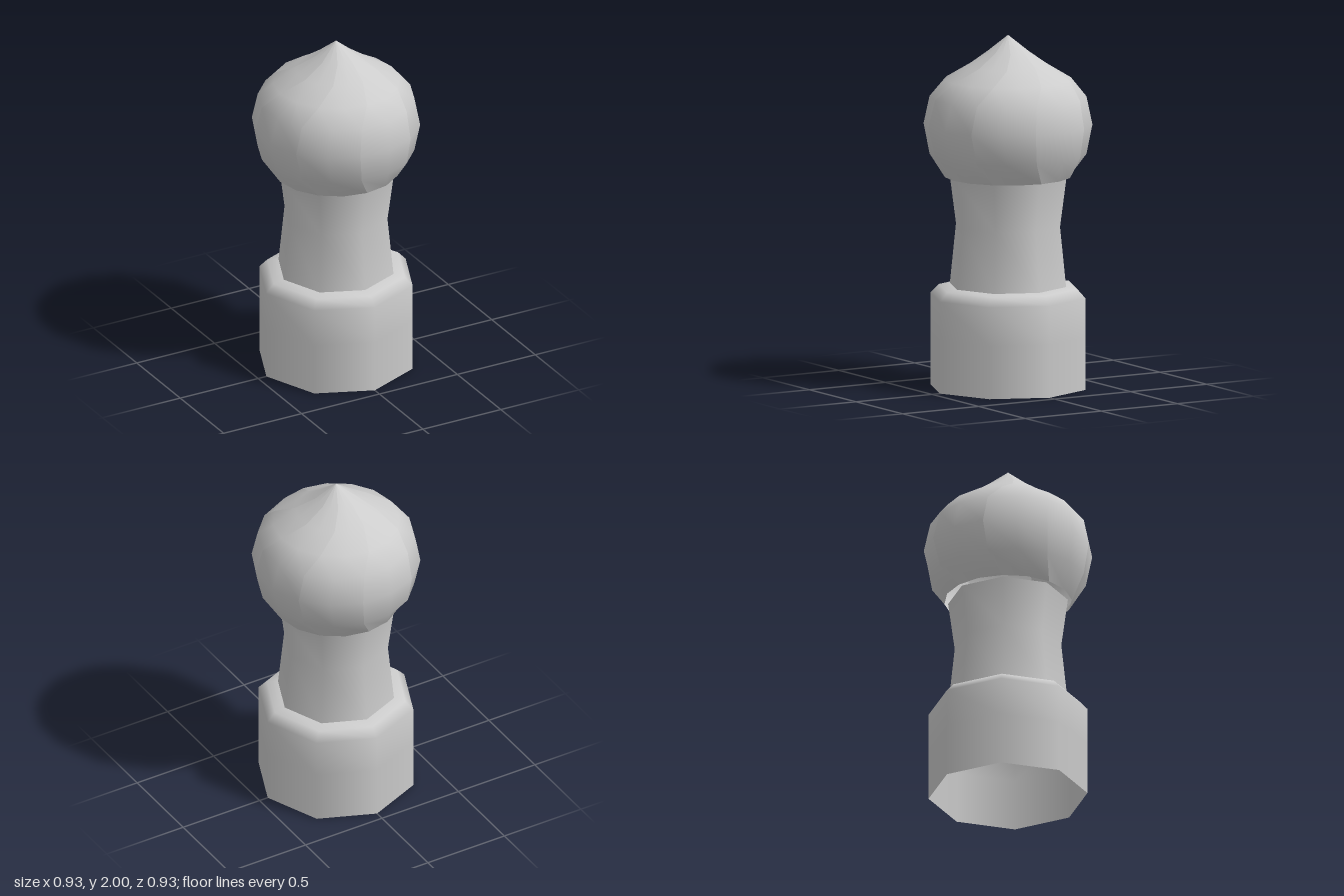
import * as THREE from 'three';

const material = new THREE.MeshStandardMaterial({ color: 0xcccccc, side: THREE.DoubleSide });
const SIDES = 8;

// Eight-sided turned part from [radius, height] pairs, bottom to top
function turned(name, profile) {
  const points = profile.map(([r, y]) => new THREE.Vector2(r, y));
  const mesh = new THREE.Mesh(new THREE.LatheGeometry(points, SIDES), material);
  mesh.name = name;
  return mesh;
}

// One swirling gore of the dome; rings are [radius, height, twist in degrees]
function goreGeometry(rings, steps) {
  const positions = [];
  const indices = [];
  const row = steps + 1;
  rings.forEach(([r, y, twist], i) => {
    for (let j = 0; j <= steps; j++) {
      const a = THREE.MathUtils.degToRad(twist + (j / steps) * (360 / SIDES));
      positions.push(r * Math.sin(a), y, r * Math.cos(a));
      if (i < rings.length - 1 && j < steps) {
        const k = i * row + j;
        indices.push(k, k + 1, k + row);
        // the last row closes to the tip
        if (i < rings.length - 2) indices.push(k + 1, k + row + 1, k + row);
      }
    }
  });
  const geometry = new THREE.BufferGeometry();
  geometry.setAttribute('position', new THREE.Float32BufferAttribute(positions, 3));
  geometry.setIndex(indices);
  geometry.computeVertexNormals();
  return geometry;
}

export function createModel() {
  const model = new THREE.Group();
  model.name = 'domedTower';

  // Octagonal base with a bevelled shoulder, open underneath
  model.add(turned('base', [[0.447, 0], [0.447, 0.3], [0.447, 0.52], [0.4, 0.57], [0.32, 0.582]]));

  // Waisted neck
  model.add(turned('neck', [[0.335, 0.58], [0.3, 0.92], [0.337, 1.2]]));

  // Onion dome of eight twisted gores meeting in creased ridges
  const dome = new THREE.Group();
  dome.name = 'dome';
  const gore = goreGeometry([
    [0.358, 1.2, 0], [0.44, 1.325, -10], [0.474, 1.495, -12.3], [0.44, 1.652, -10],
    [0.357, 1.75, 0], [0.228, 1.828, 12], [0.118, 1.905, 20], [0, 2, 22],
  ], 2);
  for (let i = 0; i < SIDES; i++) {
    const mesh = new THREE.Mesh(gore, material);
    mesh.name = 'domeGore';
    mesh.rotation.y = (i / SIDES) * Math.PI * 2;
    dome.add(mesh);
  }
  model.add(dome);

  return model;
}
